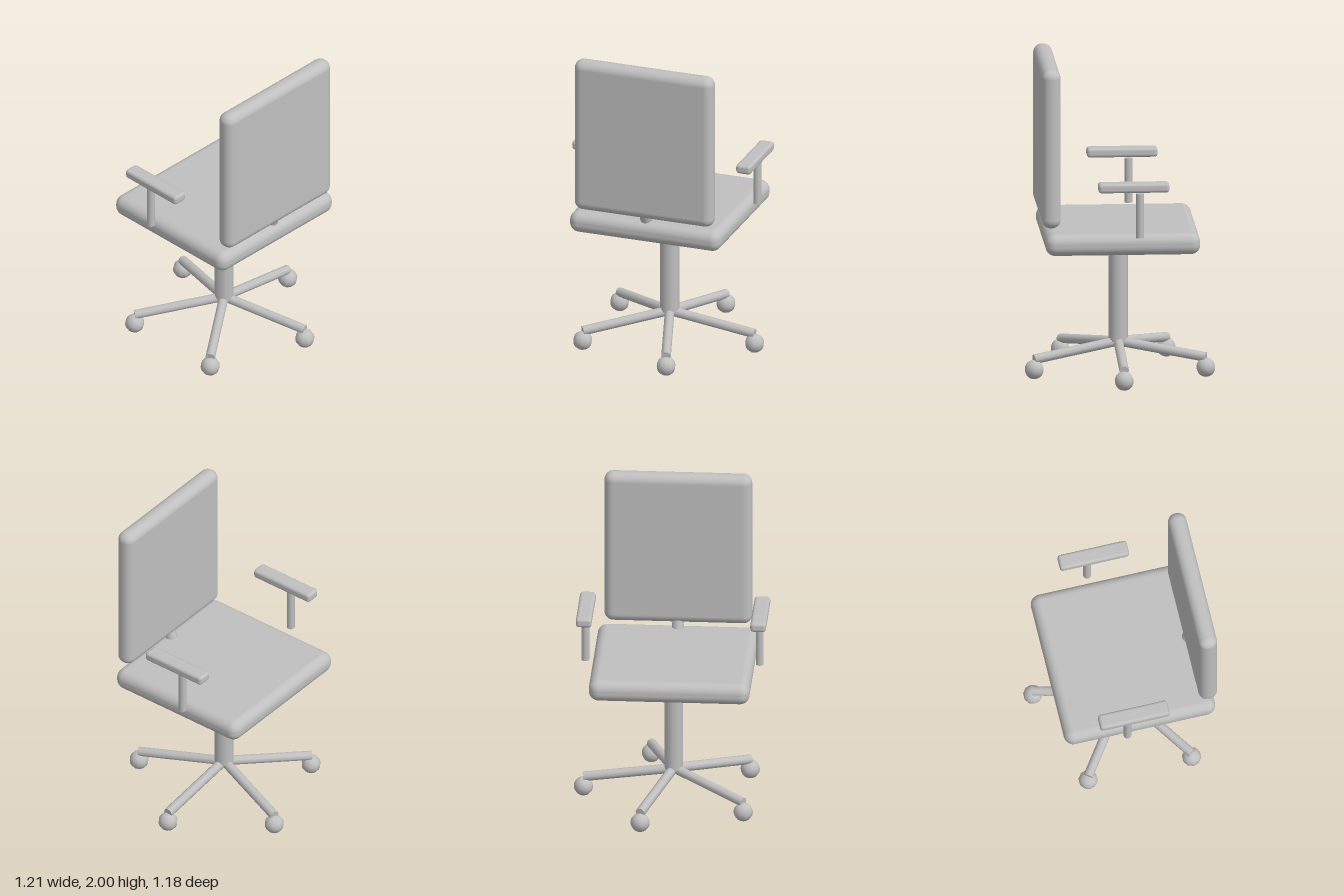
import * as THREE from 'three';
import { RoundedBoxGeometry } from 'three/addons/geometries/RoundedBoxGeometry.js';

export function createModel() {
  const chair = new THREE.Group();
  chair.name = 'officeChair';
  chair.position.x = -0.017;
  const grey = new THREE.MeshStandardMaterial({ color: 0xbfbfbf });
  grey.name = 'plainGrey';

  const add = (name, geometry, x, y, z, parent = chair) => {
    const mesh = new THREE.Mesh(geometry, grey);
    mesh.name = name;
    mesh.position.set(x, y, z);
    parent.add(mesh);
    return mesh;
  };

  // Round rod between two points
  const rod = (name, from, to, radius, parent = chair) => {
    const a = new THREE.Vector3(...from);
    const b = new THREE.Vector3(...to);
    const dir = b.clone().sub(a);
    const mid = a.clone().add(b).multiplyScalar(0.5);
    const mesh = add(name, new THREE.CylinderGeometry(radius, radius, dir.length(), 10), mid.x, mid.y, mid.z, parent);
    mesh.quaternion.setFromUnitVectors(new THREE.Vector3(0, 1, 0), dir.normalize());
    return mesh;
  };

  // Cushions
  add('seat', new RoundedBoxGeometry(0.997, 0.136, 0.96, 5, 0.06), 0, 0.901, 0);
  add('backrest', new RoundedBoxGeometry(0.916, 1.0, 0.117, 5, 0.055), 0, 1.5, 0.442);

  // Central column and leaning back support
  rod('column', [0, 0.2, 0], [0, 0.88, 0], 0.06);
  rod('backSupport', [0, 0.9, 0.39], [0, 1.06, 0.448], 0.038);

  // Five-legged base with ball casters
  const reach = 0.56;
  for (let i = 0; i < 5; i++) {
    const arm = new THREE.Group();
    arm.name = 'baseLeg' + (i + 1);
    const angle = (i * Math.PI * 2) / 5;
    const x = Math.cos(angle) * reach;
    const z = Math.sin(angle) * reach;
    rod('leg', [0, 0.198, 0], [x, 0.124, z], 0.03, arm);
    add('caster', new THREE.SphereGeometry(0.06, 10, 12), x, 0.06, z, arm);
    chair.add(arm);
  }

  // Armrests, a pad above a slim post on each side
  for (const side of [-1, 1]) {
    const armrest = new THREE.Group();
    armrest.name = side > 0 ? 'leftArmrest' : 'rightArmrest';
    const x = side * 0.541;
    rod('armPost', [x, 0.96, -0.1], [x, 1.24, -0.1], 0.025, armrest);
    add('armPad', new RoundedBoxGeometry(0.098, 0.06, 0.44, 2, 0.02), x, 1.281, -0.06, armrest);
    chair.add(armrest);
  }

  const root = new THREE.Group();
  root.name = 'chairModel';
  root.add(chair);
  return root;
}
